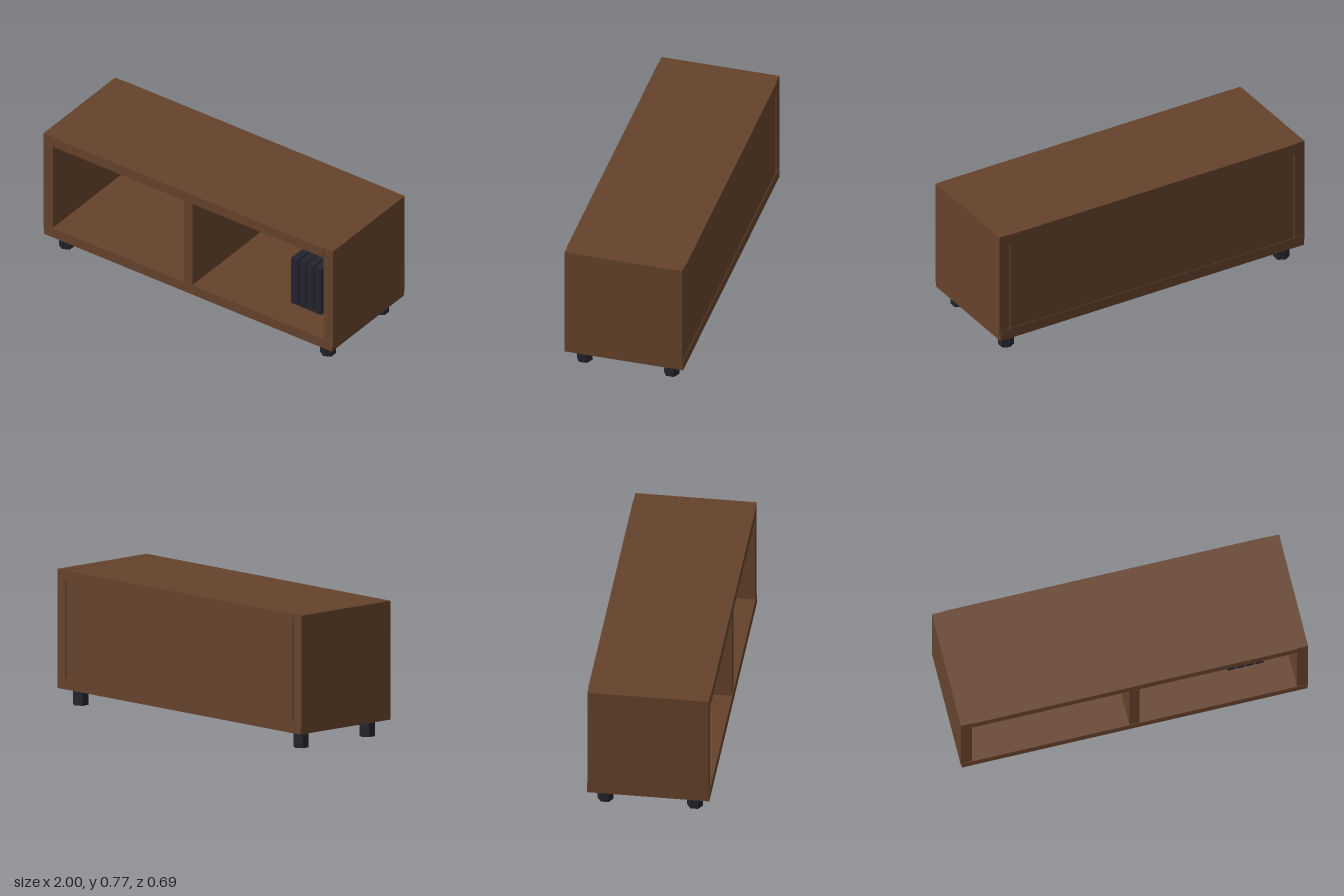
import * as THREE from 'three';

export function createModel() {
  const model = new THREE.Group();
  model.name = 'lowShelfUnit';
  const wood = new THREE.MeshStandardMaterial({ color: 0x65422c });
  wood.name = 'brown wood';
  const dark = new THREE.MeshStandardMaterial({ color: 0x23232d, flatShading: true });
  dark.name = 'dark charcoal';

  // Box given by its minimum and maximum corners
  function box(name, material, [x0, y0, z0], [x1, y1, z1]) {
    const mesh = new THREE.Mesh(new THREE.BoxGeometry(x1 - x0, y1 - y0, z1 - z0), material);
    mesh.position.set((x0 + x1) / 2, (y0 + y1) / 2, (z0 + z1) / 2);
    mesh.name = name;
    model.add(mesh);
  }

  // Cabinet panels
  box('bottomPanel', wood, [-0.995, 0.093, -0.345], [0.995, 0.155, 0.345]);
  box('topPanel', wood, [-0.935, 0.707, -0.345], [0.935, 0.769, 0.345]);
  box('rightSide', wood, [-1, 0.126, -0.342], [-0.935, 0.77, 0.342]);
  box('leftSide', wood, [0.935, 0.126, -0.342], [1, 0.77, 0.342]);
  box('divider', wood, [-0.03, 0.155, -0.31], [0.03, 0.707, 0.342]);

  // Back panel, leaving a narrow gap at each side
  box('backPanel', wood, [-0.928, 0.155, -0.341], [0.928, 0.707, -0.31]);

  // Row of books
  for (let i = 0; i < 4; i++) {
    const x = 0.58 + i * 0.0535;
    box('book' + (i + 1), dark, [x, 0.155, -0.02], [x + 0.046, 0.46, 0.16]);
  }

  // Hexagonal feet
  const footShape = new THREE.CylinderGeometry(0.045, 0.045, 0.094, 6);
  for (const sx of [-1, 1]) {
    for (const sz of [-1, 1]) {
      const foot = new THREE.Mesh(footShape, dark);
      foot.position.set(sx * 0.903, 0.047, sz * 0.253);
      foot.name = (sz > 0 ? 'front' : 'back') + (sx > 0 ? 'Left' : 'Right') + 'Foot';
      model.add(foot);
    }
  }
  return model;
}
